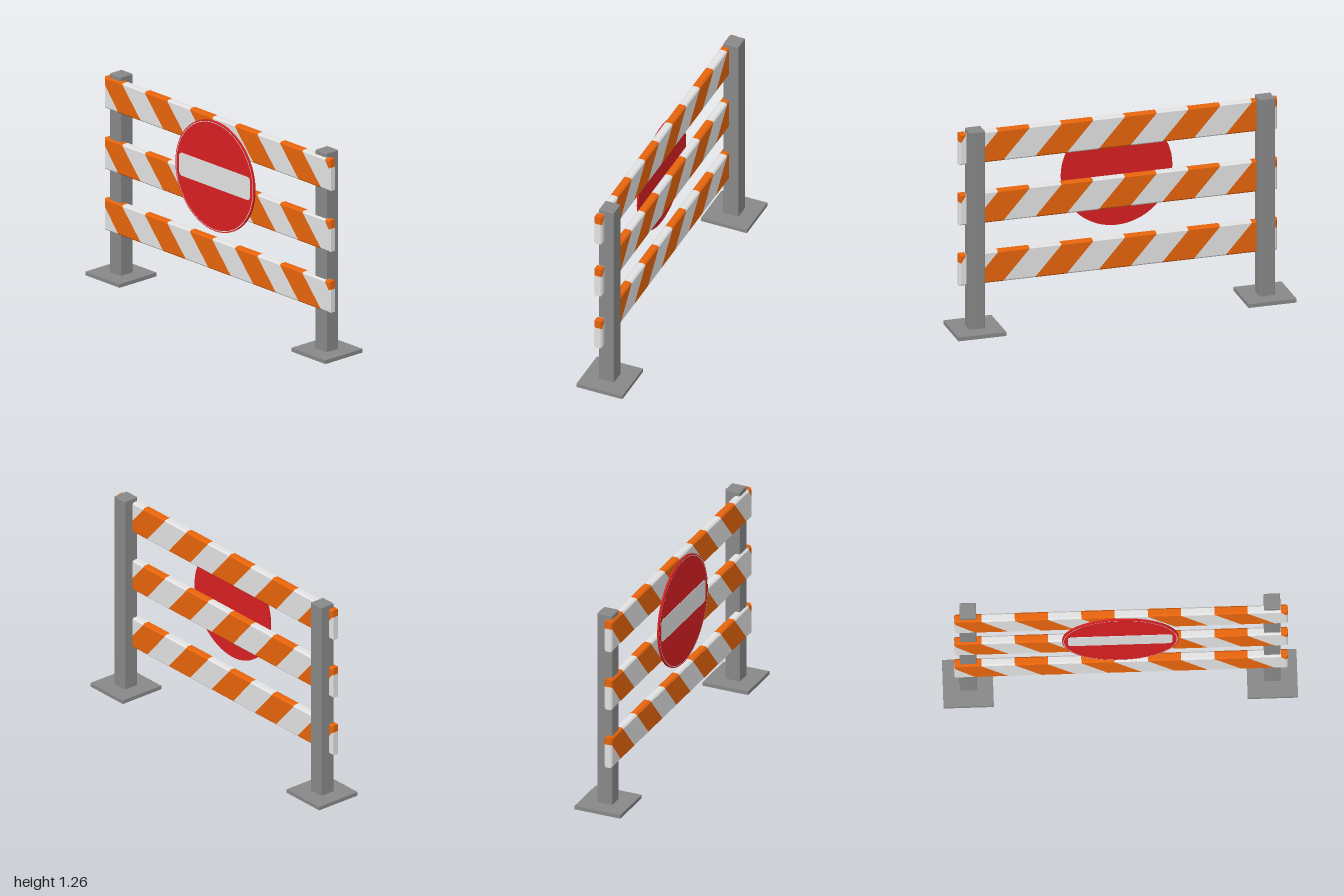
import * as THREE from 'three';
import { RoundedBoxGeometry } from 'three/addons/geometries/RoundedBoxGeometry.js';

const mat = (name, color, extra = {}) => {
  const m = new THREE.MeshStandardMaterial({ color, ...extra });
  m.name = name;
  return m;
};

const HALF = 0.967, H = 0.0965, DEPTH = 0.05, BEVEL = 0.009;
const STRIPE = 0.193, SLANT = 0.155;

// Cuts a polygon to the side of x = limit given by sign.
function clip(points, limit, sign) {
  const out = [];
  points.forEach((a, i) => {
    const b = points[(i + 1) % points.length];
    const da = sign * (limit - a.x), db = sign * (limit - b.x);
    if (da >= 0) out.push(a);
    if (da * db < 0) out.push(a.clone().lerp(b, da / (da - db)));
  });
  return out;
}

// One slanted stripe of a plank, with chamfered outer edges.
function stripeGeometry(start) {
  const corners = [
    [start + SLANT, -H], [start + SLANT + STRIPE, -H],
    [start + STRIPE, H], [start, H],
  ].map(([x, y]) => new THREE.Vector2(x, y));
  const poly = clip(clip(corners, HALF, 1), -HALF, -1);
  if (poly.length < 3) return null;
  const geo = new THREE.ExtrudeGeometry(new THREE.Shape(poly), { depth: 3, steps: 3, bevelEnabled: false });
  const layers = [0, BEVEL, DEPTH - BEVEL, DEPTH];
  const p = geo.attributes.position;
  for (let i = 0; i < p.count; i++) {
    const layer = Math.round(p.getZ(i));
    if (layer === 0 || layer === 3) {
      p.setX(i, THREE.MathUtils.clamp(p.getX(i), -HALF + BEVEL, HALF - BEVEL));
      p.setY(i, p.getY(i) * (H - BEVEL) / H);
    }
    p.setZ(i, layers[layer] - DEPTH / 2);
  }
  geo.computeVertexNormals();
  return geo;
}

export function createModel() {
  const grey = mat('grey metal', 0x888888);
  const orange = mat('orange', 0xe8650c);
  const white = mat('white', 0xe2e2e2);
  const red = mat('red', 0xd81f22);

  const barrier = new THREE.Group();
  barrier.name = 'barrier';
  const add = (name, geo, material, x, y, z, parent = barrier) => {
    const m = new THREE.Mesh(geo, material);
    m.name = name;
    m.position.set(x, y, z);
    parent.add(m);
    return m;
  };

  // Posts run down through their square base plates
  for (const [side, s] of [['left', 1], ['right', -1]]) {
    add(side + 'Post', new RoundedBoxGeometry(0.0955, 1.26, 0.0955, 2, 0.006), grey, s * 0.882, 0.63, 0);
    add(side + 'BasePlate', new THREE.BoxGeometry(0.292, 0.023, 0.292), grey, s * 0.882, 0.0235, 0);
  }

  // Three planks of alternating slanted stripes
  [0.386, 0.761, 1.137].forEach((y, n) => {
    const plank = new THREE.Group();
    plank.name = 'plank' + (n + 1);
    plank.position.set(0.005, y, 0.036);
    barrier.add(plank);
    for (let k = -2; k < 11; k++) {
      const geo = stripeGeometry(-1.003 + k * STRIPE);
      if (!geo) continue;
      const isOrange = k % 2 === 0;
      add(isOrange ? 'orangeStripe' : 'whiteStripe', geo, isOrange ? orange : white, 0, 0, 0, plank);
    }
  });

  // Round sign with a hairline border and a white bar
  const sign = new THREE.Group();
  sign.name = 'roundSign';
  sign.position.set(0, 0.878, 0.067);
  barrier.add(sign);
  add('signDisc', new THREE.CylinderGeometry(0.338, 0.338, 0.011, 64), red, 0, 0, 0, sign).rotation.x = Math.PI / 2;
  add('signBorder', new THREE.RingGeometry(0.327, 0.331, 64), white, 0, 0, 0.0075, sign);

  const w = 0.303, h = 0.071, r = 0.025;
  const bar = new THREE.Shape();
  bar.absarc(w - r, h - r, r, 0, Math.PI / 2);
  bar.absarc(-w + r, h - r, r, Math.PI / 2, Math.PI);
  bar.absarc(-w + r, -h + r, r, Math.PI, Math.PI * 1.5);
  bar.absarc(w - r, -h + r, r, Math.PI * 1.5, Math.PI * 2);
  add('signBar', new THREE.ExtrudeGeometry(bar, { depth: 0.003, bevelEnabled: false, curveSegments: 6 }), white, 0, 0, 0.005, sign);

  // The whole barrier stands diagonally
  barrier.rotation.y = -1.1554;
  const model = new THREE.Group();
  model.name = 'roadBarrier';
  model.add(barrier);
  return model;
}
